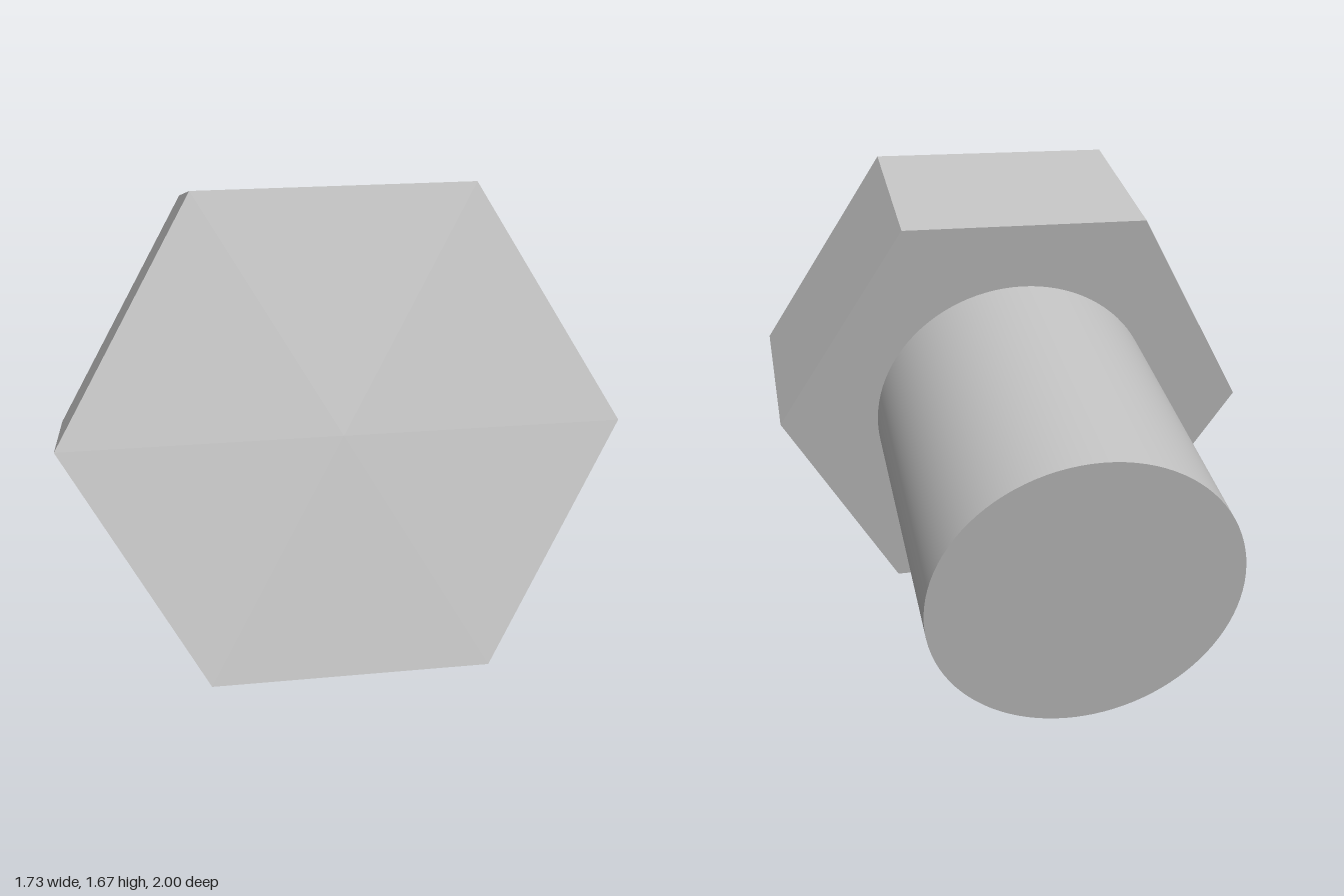
import * as THREE from 'three';

export function createModel() {
  const model = new THREE.Group();
  model.name = 'hexBolt';

  const steel = new THREE.MeshStandardMaterial({ color: 0xc0c0c0 });
  steel.name = 'light grey steel';

  const headRadius = 0.866, headDepth = 0.644;
  const shankRadius = 0.514, shankLength = 1.086;

  // The bolt lies along local z, with the front face of its head at z = 0
  const bolt = new THREE.Group();
  bolt.name = 'bolt';

  // Hexagonal head, flat sides up and down, one normal per facet
  const headGeometry = new THREE.CylinderGeometry(
    headRadius, headRadius, headDepth, 6, 1, false, Math.PI / 6
  ).rotateX(Math.PI / 2).toNonIndexed();
  headGeometry.computeVertexNormals();
  const head = new THREE.Mesh(headGeometry, steel);
  head.name = 'head';
  head.position.z = -headDepth / 2;

  // Smooth round shank
  const shankGeometry = new THREE.CylinderGeometry(
    shankRadius, shankRadius, shankLength, 96
  ).rotateX(Math.PI / 2);
  const shank = new THREE.Mesh(shankGeometry, steel);
  shank.name = 'shank';
  shank.position.z = -headDepth - shankLength / 2;

  bolt.add(head, shank);

  // Lean back so that the head faces slightly upward
  bolt.rotation.x = -Math.PI / 12;
  bolt.position.set(0, 0.945, 0.806);

  model.add(bolt);
  return model;
}
